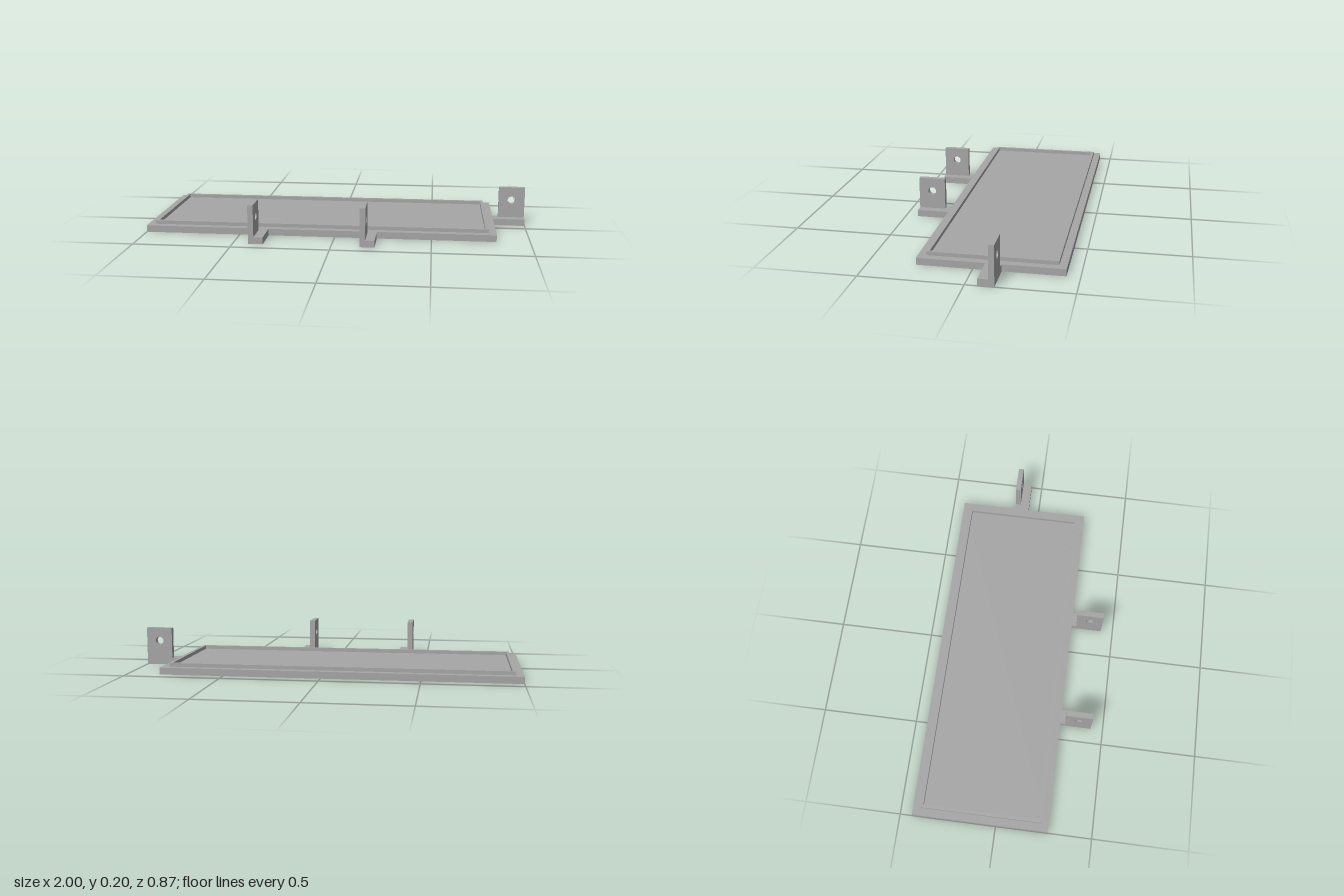
import * as THREE from 'three';

const gray = new THREE.MeshStandardMaterial({ color: 0xa6a6a6 });
gray.name = 'gray';

const BASE = 0.035, RIM_TOP = 0.054;

function box(name, x0, x1, y0, y1, z0, z1) {
  const mesh = new THREE.Mesh(new THREE.BoxGeometry(x1 - x0, y1 - y0, z1 - z0), gray);
  mesh.position.set((x0 + x1) / 2, (y0 + y1) / 2, (z0 + z1) / 2);
  mesh.name = name;
  return mesh;
}

function rectangle(PathType, x0, x1, y0, y1) {
  return new PathType([[x0, y0], [x1, y0], [x1, y1], [x0, y1]].map(p => new THREE.Vector2(...p)));
}

// Mounting lug running along local +x: flat foot plus an upright ear with a screw hole
function mountingLug(name, length, width, earZ) {
  const lug = new THREE.Group();
  lug.name = name;
  lug.add(box('foot', 0, length, 0, BASE, 0, width));

  const ear = rectangle(THREE.Shape, length - 0.139, length, BASE, 0.2);
  const hole = new THREE.Path();
  hole.absarc(length - 0.07, 0.13, 0.021, 0, Math.PI * 2, true);
  ear.holes.push(hole);
  const geometry = new THREE.ExtrudeGeometry(ear, { depth: 0.028, bevelEnabled: false, curveSegments: 32 });
  const mesh = new THREE.Mesh(geometry, gray);
  mesh.position.z = earZ;
  mesh.name = 'ear';
  lug.add(mesh);
  return lug;
}

export function createModel() {
  const model = new THREE.Group();
  model.name = 'coverPlate';

  // Flat plate
  model.add(box('plate', -1, 0.83, 0, BASE, -0.435, 0.27));

  // Thin raised rim, inset from the plate edge
  const rimShape = rectangle(THREE.Shape, -0.96, 0.791, -0.232, 0.397);
  rimShape.holes.push(rectangle(THREE.Path, -0.944, 0.775, -0.216, 0.381));
  const rim = new THREE.Mesh(
    new THREE.ExtrudeGeometry(rimShape, { depth: RIM_TOP - BASE, bevelEnabled: false }), gray);
  rim.rotation.x = -Math.PI / 2;
  rim.position.y = BASE;
  rim.name = 'rim';
  model.add(rim);

  // Two lugs on the front edge, ears on their right side
  for (const [name, x] of [['frontRightLug', -0.346], ['frontLeftLug', 0.219]]) {
    const lug = mountingLug(name, 0.165, 0.075, 0.047);
    lug.rotation.y = -Math.PI / 2;
    lug.position.set(x, 0, 0.27);
    model.add(lug);
  }

  // One lug on the left edge, ear on its rear side
  const sideLug = mountingLug('sideLug', 0.17, 0.077, 0);
  sideLug.position.set(0.83, 0, -0.136);
  model.add(sideLug);

  return model;
}
